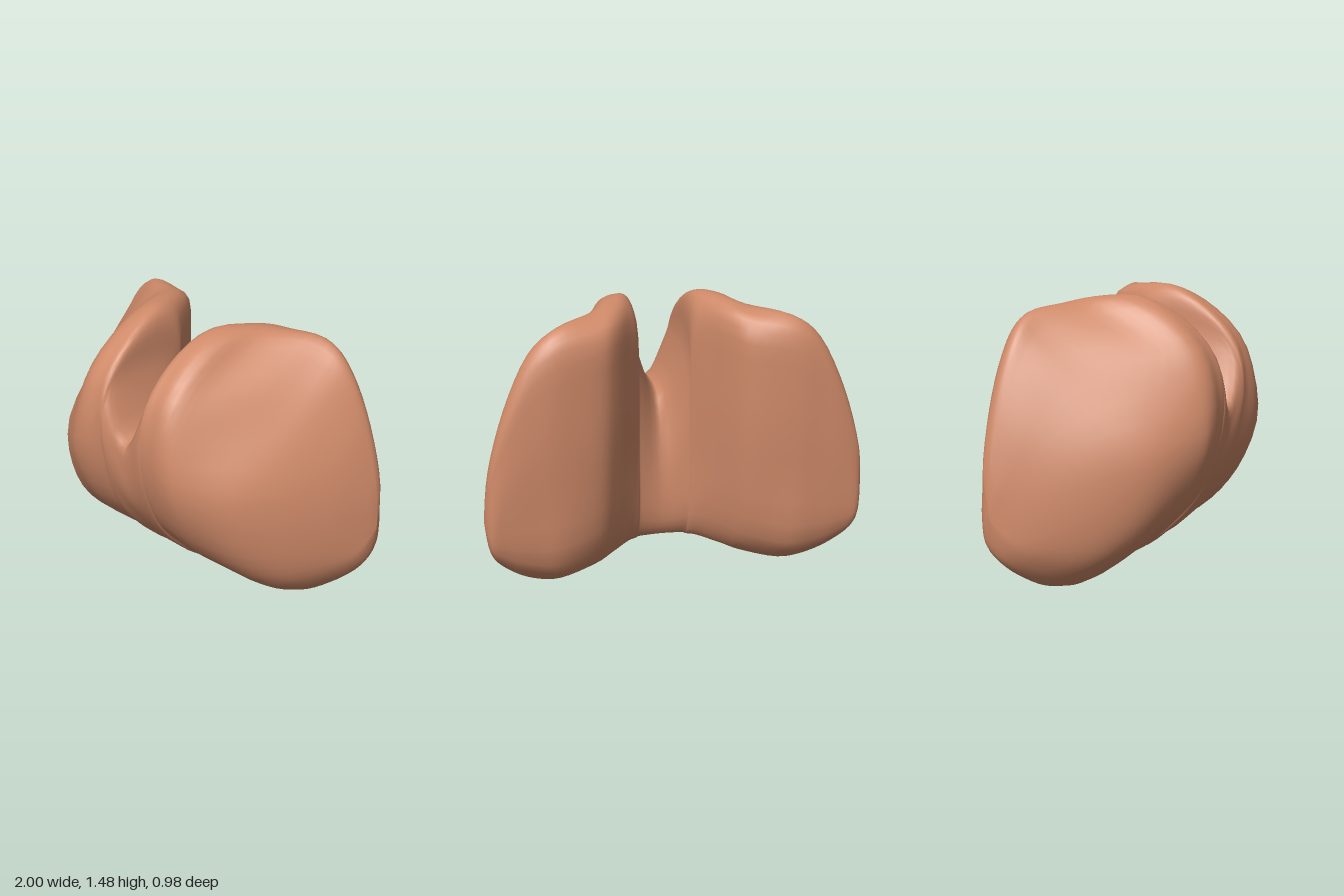
import * as THREE from 'three';

// Cross-sections of the left half, from the middle outwards:
// x, top y, bottom y, bottom z, five front z going up, top z, four back z going down
const sections = [
  [0, 0.93, 0.10, 0.0, 0.15, 0.28, 0.41, 0.45, 0.44, 0.25, 0.06, -0.02, -0.07, -0.06],
  [0.12, 1.18, 0.095, 0.0, 0.18, 0.34, 0.45, 0.48, 0.42, 0.2, -0.05, -0.09, -0.1, -0.08],
  [0.145, 1.4, 0.09, -0.01, 0.18, 0.37, 0.47, 0.45, 0.28, 0.07, -0.1, -0.12, -0.12, -0.1],
  [0.2, 1.475, 0.085, -0.03, 0.19, 0.39, 0.48, 0.42, 0.2, 0.0, -0.17, -0.21, -0.2, -0.15],
  [0.3, 1.475, 0.065, -0.1, 0.18, 0.39, 0.49, 0.41, 0.16, -0.1, -0.33, -0.36, -0.33, -0.25],
  [0.4, 1.45, 0.04, -0.15, 0.15, 0.36, 0.46, 0.3, -0.05, -0.25, -0.41, -0.44, -0.42, -0.34],
  [0.6, 1.42, 0.005, -0.2, 0.1, 0.27, 0.3, 0.0, -0.27, -0.38, -0.46, -0.485, -0.47, -0.42],
  [0.75, 1.3, 0.04, -0.25, 0.02, 0.12, 0.1, -0.15, -0.33, -0.4, -0.46, -0.485, -0.48, -0.43],
  [0.88, 1.03, 0.13, -0.32, -0.15, -0.1, -0.13, -0.25, -0.36, -0.42, -0.46, -0.48, -0.48, -0.44],
  [0.97, 0.72, 0.25, -0.38, -0.31, -0.31, -0.33, -0.36, -0.4, -0.42, -0.45, -0.46, -0.47, -0.45],
];
// The outer edge closes to a tip
sections.push([1, 0.46, 0.44, ...Array(11).fill(-0.41)]);

// Heights of the eleven loop points, as a fraction of the section's height
const levels = [0, 0.12, 0.3, 0.55, 0.8, 0.95, 1, 0.95, 0.75, 0.4, 0.1];
const AROUND = 40;
const STEPS = 4;

// Section number i, mirrored past the middle and held at the tip
function sectionAt(i) {
  const s = sections[Math.min(Math.abs(i), sections.length - 1)];
  return i < 0 ? [-s[0], ...s.slice(1)] : s;
}

// Smooth blend between neighbouring sections
function blend(t) {
  const i = Math.floor(t), f = t - i;
  const [a, b, c, d] = [-1, 0, 1, 2].map((k) => sectionAt(i + k));
  return b.map((p, k) => p + 0.5 * f * (c[k] - a[k]
    + f * (2 * a[k] - 5 * p + 4 * c[k] - d[k] + f * (3 * (p - c[k]) + d[k] - a[k]))));
}

// Closed loop of points for one section
function loop(section) {
  const [x, top, bottom, ...depths] = section;
  const points = levels.map((v, k) => new THREE.Vector3(x, bottom + (top - bottom) * v, depths[k]));
  const curve = new THREE.CatmullRomCurve3(points, true, 'centripetal');
  return Array.from({ length: AROUND }, (_, j) => curve.getPoint(j / AROUND));
}

function shellGeometry() {
  const positions = [], index = [];
  const last = (sections.length - 1) * STEPS;
  for (let i = -last; i <= last; i++) {
    const side = i < 0 ? -1 : 1;
    for (const p of loop(blend(Math.abs(i) / STEPS))) {
      positions.push(side * p.x, Math.max(p.y, 0), p.z);
    }
  }
  for (let i = 0; i < 2 * last; i++) {
    for (let j = 0; j < AROUND; j++) {
      const k = (j + 1) % AROUND;
      const a = i * AROUND + j, d = i * AROUND + k;
      const b = a + AROUND, c = d + AROUND;
      index.push(a, b, c, a, c, d);
    }
  }
  const geometry = new THREE.BufferGeometry();
  geometry.setAttribute('position', new THREE.Float32BufferAttribute(positions, 3));
  geometry.setIndex(index);
  geometry.computeVertexNormals();
  return geometry;
}

export function createModel() {
  const group = new THREE.Group();
  group.name = 'wingedShell';
  const clay = new THREE.MeshStandardMaterial({ color: 0xcf8a69 });
  clay.name = 'clay';

  // Two flared wings joined at the front below a notch
  const body = new THREE.Mesh(shellGeometry(), clay);
  body.name = 'notchedWings';
  group.add(body);
  return group;
}
